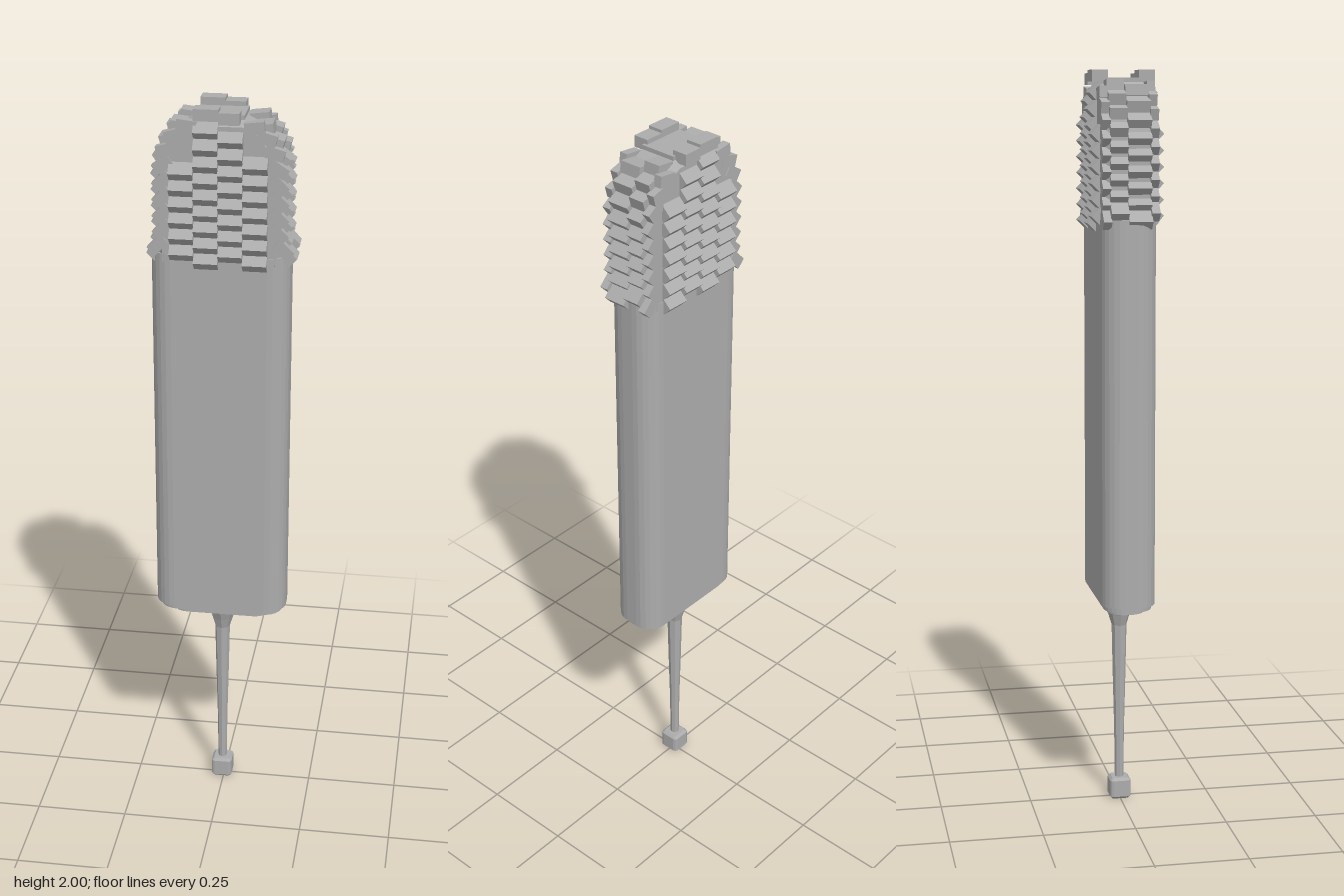
import * as THREE from 'three';

const grey = new THREE.MeshStandardMaterial({ color: 0xacacac, flatShading: true });
grey.name = 'plain grey';
const CX = -0.005; // body axis

// Rounded rectangle given by half sizes and corner radius
function roundedRect(hx, hz, r) {
  const s = new THREE.Shape();
  s.moveTo(-hx + r, -hz).lineTo(hx - r, -hz);
  s.absarc(hx - r, -hz + r, r, -Math.PI / 2, 0);
  s.lineTo(hx, hz - r).absarc(hx - r, hz - r, r, 0, Math.PI / 2);
  s.lineTo(-hx + r, hz).absarc(-hx + r, hz - r, r, Math.PI / 2, Math.PI);
  s.lineTo(-hx, -hz + r).absarc(-hx + r, -hz + r, r, Math.PI, Math.PI * 1.5);
  return s;
}

function add(group, name, geometry) {
  const mesh = new THREE.Mesh(geometry, grey);
  mesh.name = name;
  group.add(mesh);
  return mesh;
}

// Upright slab with a rounded footprint
function slab(group, name, hx, hz, r, y0, y1) {
  const g = new THREE.ExtrudeGeometry(roundedRect(hx, hz, r), {
    depth: y1 - y0, bevelEnabled: false, curveSegments: 3,
  });
  g.rotateX(-Math.PI / 2).translate(CX, y0, 0);
  add(group, name, g);
}

// Shingle tipped 45 degrees so its lower edge stands out
function shingle(group, pos, normal, up, width) {
  const t = up.clone().sub(normal).normalize();
  const n = normal.clone().add(up).normalize();
  const w = new THREE.Vector3().crossVectors(t, n);
  const m = add(group, 'shingle', new THREE.BoxGeometry(width, 0.05, 0.03));
  m.quaternion.setFromRotationMatrix(new THREE.Matrix4().makeBasis(w, t, n));
  m.position.copy(pos);
}

export function createModel() {
  const model = new THREE.Group();

  // Body and stepped base
  slab(model, 'body', 0.181, 0.073, 0.056, 0.592, 1.62);
  slab(model, 'upperBaseStep', 0.171, 0.064, 0.052, 0.578, 0.592);
  slab(model, 'lowerBaseStep', 0.137, 0.05, 0.044, 0.563, 0.578);

  // Tapered stem with a flared top
  const stemProfile = [[0, 0.05], [0.012, 0.05], [0.014, 0.2], [0.018, 0.36], [0.021, 0.5],
    [0.03, 0.53], [0.039, 0.555], [0.04, 0.57]].map(([x, y]) => new THREE.Vector2(x, y));
  add(model, 'stem', new THREE.LatheGeometry(stemProfile, 8)).position.x = CX;

  // Small block foot with cut edges
  const foot = new THREE.ExtrudeGeometry(roundedRect(0.022, 0.022, 0.004), {
    depth: 0.046, bevelThickness: 0.007, bevelSize: 0.007, bevelSegments: 1, curveSegments: 1,
  });
  foot.rotateX(-Math.PI / 2).translate(CX, 0.007, 0);
  add(model, 'foot', foot);

  // Arched core under the shingles
  const head = new THREE.Group();
  head.name = 'shingledHead';
  model.add(head);
  const arch = [[0.145, 1.6], [0.145, 1.84], [0.13, 1.89], [0.1, 1.935], [0.06, 1.955]];
  const coreShape = new THREE.Shape([
    ...arch.map(([x, y]) => new THREE.Vector2(x, y)),
    ...arch.slice().reverse().map(([x, y]) => new THREE.Vector2(-x, y)),
  ]);
  const core = new THREE.ExtrudeGeometry(coreShape, {
    depth: 0.1, bevelThickness: 0.02, bevelSize: 0.014, bevelSegments: 1,
  });
  add(head, 'headCore', core.translate(CX, 0, -0.05));

  // Four staggered columns on the front and back faces
  const pitch = 0.042, up = new THREE.Vector3(0, 1, 0);
  const tops = [1.885, 1.955, 1.955, 1.885];
  for (const s of [1, -1]) {
    for (let c = 0; c < 4; c++) {
      const x = CX + (c - 1.5) * 0.0625;
      for (let y = 1.613 + (1 - c % 2) * pitch / 2; y < tops[c]; y += pitch) {
        const z = 0.067 - Math.max(0, y - 1.9) * 0.1;
        shingle(head, new THREE.Vector3(x, y, s * z), new THREE.Vector3(0, 0, s), up, 0.0625);
      }
    }
  }

  // Side columns climbing over the shoulders, with narrow ones at the edges
  const path = new THREE.CurvePath();
  const rail = [[0.152, 1.623], [0.152, 1.845], [0.143, 1.89], [0.118, 1.935], [0.08, 1.965]]
    .map(([x, y]) => new THREE.Vector3(x, y, 0));
  for (let i = 1; i < rail.length; i++) path.add(new THREE.LineCurve3(rail[i - 1], rail[i]));
  const total = path.getLength();
  const columns = [ // z centre, width, stagger, inset
    [-0.03, 0.046, 0.5, 0], [0.024, 0.062, 0, 0],
    [-0.062, 0.022, 0, 0.005], [0.064, 0.022, 0.5, 0.005],
  ];
  for (const s of [1, -1]) {
    for (const [z, width, stagger, inset] of columns) {
      for (let d = stagger * pitch; d < total; d += pitch) {
        const p = path.getPointAt(d / total), t = path.getTangentAt(d / total);
        const n = new THREE.Vector3(t.y, -t.x, 0);
        const flare = d < pitch * 0.9 ? 0.014 : 0; // lowest row stands out
        p.addScaledVector(n, flare - inset);
        p.z = z;
        for (const v of [p, n, t]) v.x *= s;
        shingle(head, p, n, t, width);
      }
    }
  }

  // Recessed crown plate between two pairs of rim blocks
  const crown = add(head, 'crownPlate', new THREE.BoxGeometry(0.125, 0.02, 0.1));
  crown.position.set(CX, 1.97, 0);
  for (const s of [1, -1]) {
    for (const [x, width, y] of [[-0.035, 0.064, 1.985], [0.023, 0.052, 1.977]]) {
      const rim = add(head, 'crownRim', new THREE.BoxGeometry(width, 0.03, 0.042));
      rim.position.set(x, y, s * 0.062);
    }
  }
  return model;
}
